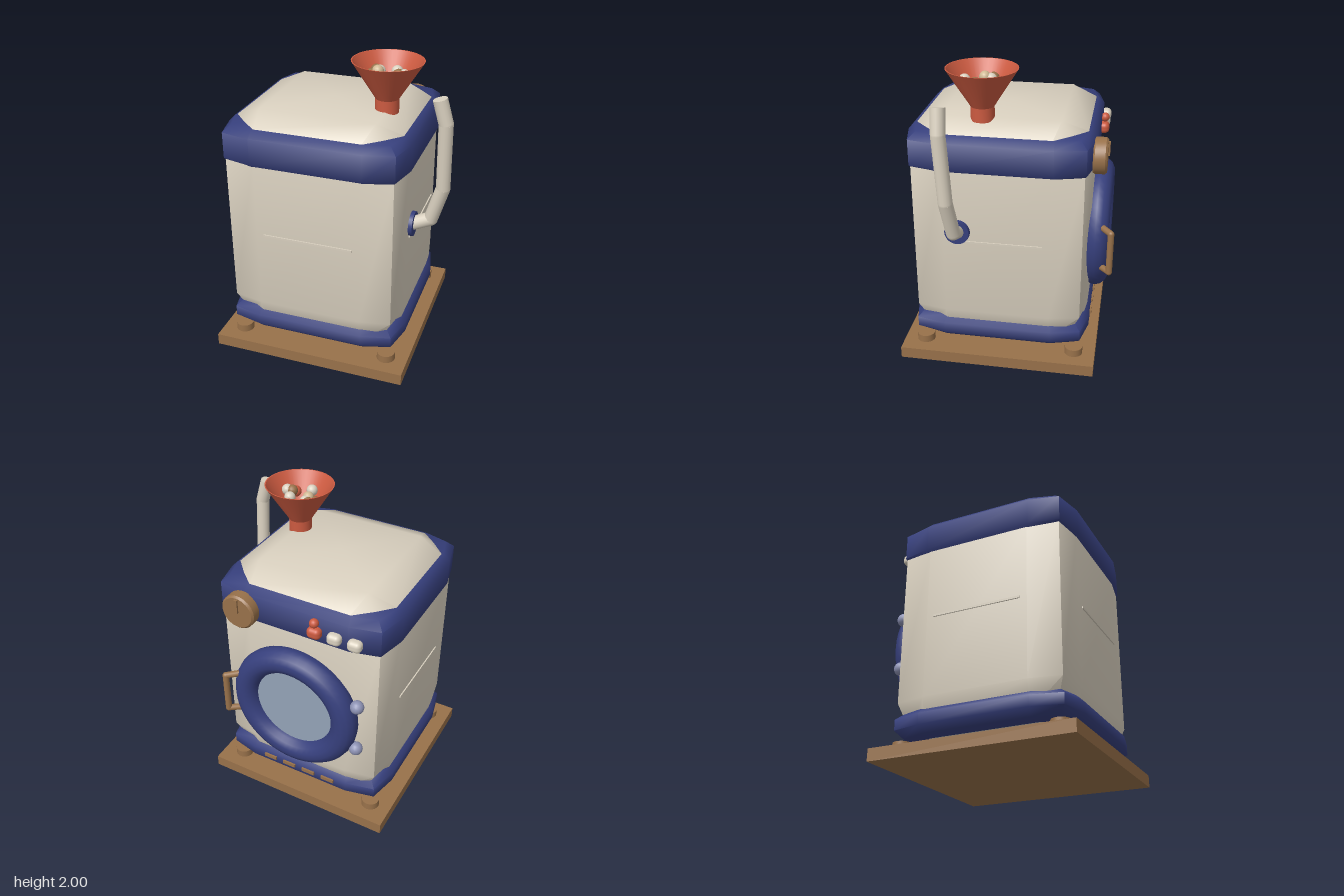
import * as THREE from 'three';
import { mergeVertices, toCreasedNormals } from 'three/addons/utils/BufferGeometryUtils.js';
import { RoundedBoxGeometry } from 'three/addons/geometries/RoundedBoxGeometry.js';

const paint = (name, color, side = THREE.FrontSide) => {
  const m = new THREE.MeshStandardMaterial({ color, side });
  m.name = name;
  return m;
};

const CX = -0.085, CZ = 0.04, DOOR_Y = 0.835;

// Square soft-cornered solid; each loop: half size, corner cut, corner inset, y, y shift of the corner point
function softBox(loops) {
  const pos = [], idx = [], n = 12;
  for (const [a, c, m, y, shift = 0] of loops) {
    const corner = [[a, c - a, 0], [a, a - c, 0], [a - m, a - m, shift]];
    const order = [corner[1], corner[2], [a - c, a, 0]];
    for (let q = 0; q < 4; q++) {
      const cs = Math.round(Math.cos(q * Math.PI / 2)), sn = Math.round(Math.sin(q * Math.PI / 2));
      for (const [x, z, s] of order) pos.push(x * cs - z * sn, y + s, x * sn + z * cs);
    }
  }
  for (let l = 0; l < loops.length - 1; l++) {
    for (let i = 0; i < n; i++) {
      const j = (i + 1) % n, a = l * n + i, b = l * n + j;
      idx.push(a, a + n, b, b, a + n, b + n);
    }
  }
  const last = (loops.length - 1) * n, lo = pos.length / 3, hi = lo + 1;
  pos.push(0, loops[0][3], 0, 0, loops[loops.length - 1][3], 0);
  for (let i = 0; i < n; i++) {
    const j = (i + 1) % n;
    idx.push(lo, i, j, hi, last + j, last + i);
  }
  const g = new THREE.BufferGeometry();
  g.setAttribute('position', new THREE.Float32BufferAttribute(pos, 3));
  g.setIndex(idx);
  return toCreasedNormals(mergeVertices(g), 1.0);
}

export function createModel() {
  const cream = paint('cream enamel', 0xd9d0bf);
  const navy = paint('navy trim', 0x363f7c);
  const red = paint('coral red', 0xcb5a40, THREE.DoubleSide);
  const wood = paint('brown wood', 0x98714a);
  const glass = paint('blue grey glass', 0x93a2b6);
  const metal = paint('hinge metal', 0x8d92b4);
  const tan = paint('tan beads', 0xd0b994);

  const model = new THREE.Group();
  const add = (name, geo, mat, x = 0, y = 0, z = 0) => {
    const mesh = new THREE.Mesh(geo, mat);
    mesh.name = name;
    mesh.position.set(x, y, z);
    model.add(mesh);
    return mesh;
  };
  // Round bar through a list of points, with ball joints
  const rod = (name, points, r, mat) => {
    const pts = points.map(p => new THREE.Vector3(...p));
    pts.forEach((p, i) => {
      if (i > 0 && i < pts.length - 1) add(name + 'Joint', new THREE.SphereGeometry(r, 16, 12), mat, p.x, p.y, p.z);
      if (i === 0) return;
      const d = p.clone().sub(pts[i - 1]);
      const bar = add(name, new THREE.CylinderGeometry(r, r, d.length(), 16), mat);
      bar.position.copy(p).addScaledVector(d, -0.5);
      bar.quaternion.setFromUnitVectors(new THREE.Vector3(0, 1, 0), d.normalize());
    });
  };

  // Base board and feet
  add('baseBoard', new THREE.BoxGeometry(1.32, 0.08, 1.32), wood, CX, 0.04, CZ);
  for (const sx of [-1, 1]) for (const sz of [-1, 1])
    add('foot', new THREE.CylinderGeometry(0.06, 0.062, 0.08, 20), wood, CX + sx * 0.515, 0.09, CZ + sz * 0.515);

  // Cabinet and the two trim bands
  add('cabinet', softBox([
    [0.38, 0, 0, 0.13], [0.545, 0.2, 0.06, 0.2, 0.03], [0.585, 0.24, 0.038, 0.38],
    [0.585, 0.24, 0.038, 1.42], [0.545, 0.2, 0.06, 1.623, -0.035], [0.38, 0, 0, 1.69],
  ]), cream, CX, 0, CZ);
  const band = (name, y0, y1, e) => add(name, softBox([
    [0.555, 0.2, 0.045, y0], [0.6, 0.24, 0.045, y0 + e],
    [0.6, 0.24, 0.045, y1 - e], [0.555, 0.2, 0.045, y1],
  ]), navy, CX, 0, CZ);
  band('upperBand', 1.36, 1.622, 0.045);
  band('lowerBand', 0.16, 0.32, 0.045);

  // Thin seam ridge on every side
  for (let q = 0; q < 4; q++) {
    const a = q * Math.PI / 2;
    const seam = add('seam', new THREE.BoxGeometry(0.595, 0.014, 0.016), cream,
      CX + Math.sin(a) * 0.585, 0.91, CZ + Math.cos(a) * 0.585);
    seam.rotation.y = a;
  }

  // Round door at the back
  add('doorRing', new THREE.TorusGeometry(0.358, 0.087, 14, 48), navy, CX, DOOR_Y, -0.579);
  const pane = add('doorGlass', new THREE.CylinderGeometry(0.295, 0.295, 0.04, 40), glass, CX, DOOR_Y, -0.575);
  pane.rotation.x = Math.PI / 2;
  for (const s of [-1, 1])
    add('hinge', new THREE.SphereGeometry(0.045, 14, 10), metal, CX - 0.44, DOOR_Y + s * 0.175, -0.575);
  rod('doorHandle', [[0.29, 0.985, -0.61], [0.375, 0.98, -0.68], [0.375, 0.7, -0.68], [0.29, 0.695, -0.61]], 0.021, wood);

  // Control dial with pointer
  const dialProfile = [[0, -0.045], [0.108, -0.045], [0.116, -0.035], [0.116, 0.03], [0.104, 0.042], [0, 0.042]];
  const dial = add('dial', toCreasedNormals(new THREE.LatheGeometry(
    dialProfile.map(p => new THREE.Vector2(...p)), 36), 0.6), wood, 0.28, 1.475, -0.588);
  dial.rotation.x = -Math.PI / 2;
  add('dialPointer', new THREE.BoxGeometry(0.022, 0.09, 0.02), wood, 0.28, 1.525, -0.632);

  // Push buttons
  [[-0.5, cream], [-0.365, cream], [-0.232, red]].forEach(([x, mat]) =>
    add('button', new RoundedBoxGeometry(0.092, 0.075, 0.07, 4, 0.03), mat, x, 1.475, -0.576));
  add('buttonKnob', new THREE.SphereGeometry(0.03, 16, 12), red, -0.232, 1.545, -0.58);

  // Vent slots on the lower band
  for (let i = 0; i < 4; i++)
    add('ventSlot', new THREE.BoxGeometry(0.095, 0.025, 0.02), wood, CX + (i - 1.5) * 0.15, 0.25, -0.562);

  // Side pipe with its collar
  const collar = add('pipeCollar', new THREE.CylinderGeometry(0.08, 0.085, 0.05, 24), navy, 0.5, 0.982, 0.29);
  collar.rotation.z = -Math.PI / 2;
  rod('sidePipe', [[0.49, 0.975, 0.29], [0.625, 1.035, 0.285], [0.697, 1.275, 0.308],
    [0.697, 1.71, 0.335], [0.655, 1.862, 0.34]], 0.045, cream);

  // Funnel and the beads inside
  const FX = 0.285, FZ = 0.155;
  const funnel = [[0.075, 1.67], [0.075, 1.76], [0.09, 1.785], [0.226, 2.0], [0.218, 2.0], [0.08, 1.785]];
  add('funnel', toCreasedNormals(new THREE.LatheGeometry(
    funnel.map(p => new THREE.Vector2(...p)), 40), 0.5), red, FX, 0, FZ);
  add('beadFill', new THREE.CylinderGeometry(0.105, 0.095, 0.02, 28), tan, FX, 1.815, FZ);
  const beads = [
    [0.315, 0.05, cream], [0.22, 0.11, cream], [0.22, 0.15, tan], [0.35, 0.135, cream],
    [0.26, 0.27, cream], [0.395, 0.18, cream], [0.18, 0.155, wood], [0.195, 0.1, wood],
    [0.36, 0.185, wood], [0.36, 0.23, red],
  ];
  beads.forEach(([x, z, mat], i) =>
    add('bead', new THREE.SphereGeometry(0.037, 14, 10), mat, x, 1.9 + (i % 3) * 0.012, z));

  return model;
}
